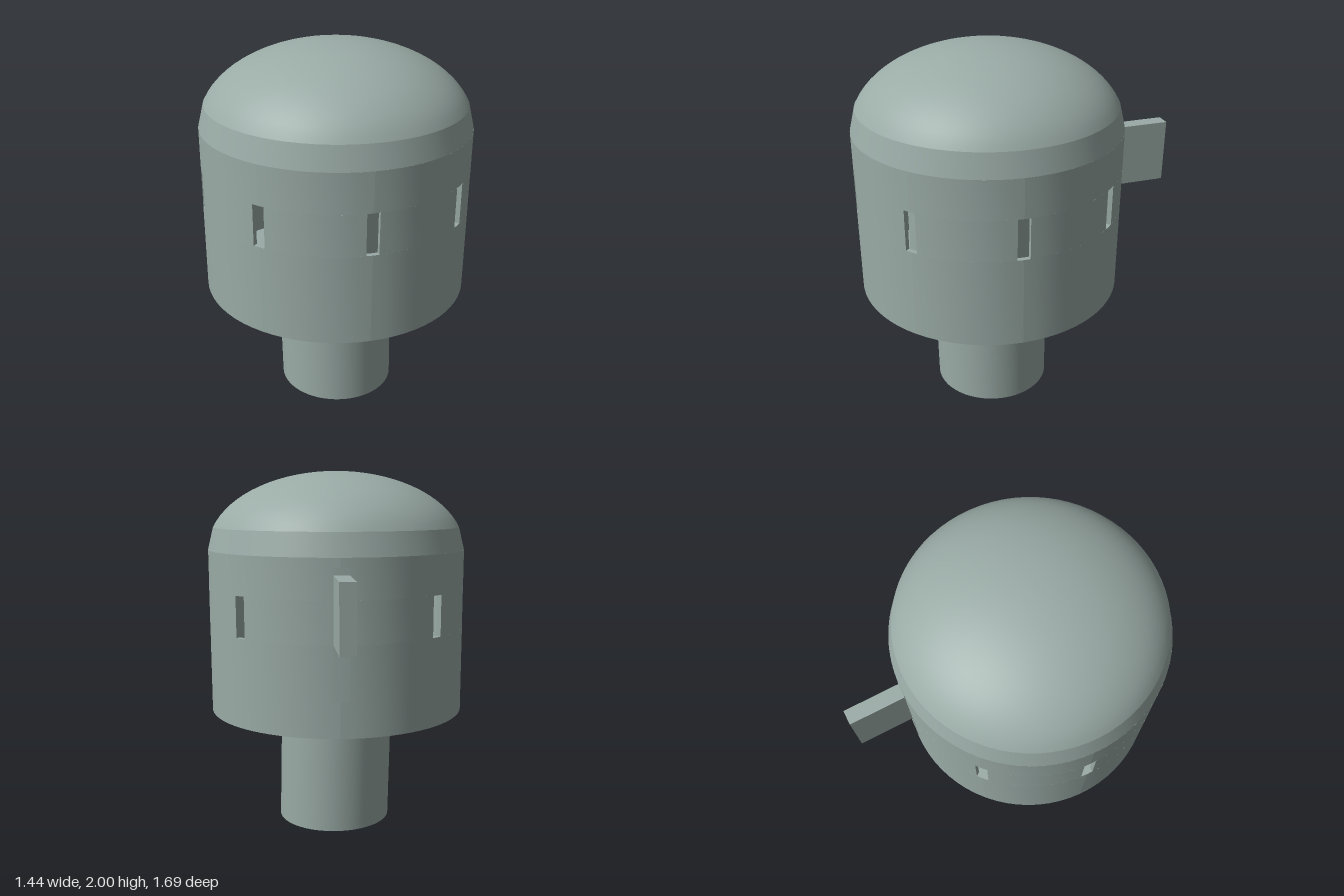
import * as THREE from 'three';
import { toCreasedNormals } from 'three/addons/utils/BufferGeometryUtils.js';

const R = 0.72, T = 0.025, BASE = 0.66, SILL = 1.14, HEAD = 1.36, RIM = 1.57;
const DEG = Math.PI / 180;

// Curved wall block; angles are measured from the front (+z) towards +x
function arcBlock(a0, a1, y0, y1, outer = R, inner = R - T) {
  const n = Math.max(2, Math.round((a1 - a0) / (5 * DEG)));
  const pts = [];
  for (let i = 0; i <= n; i++) {
    const a = a0 + (a1 - a0) * i / n;
    pts.push(new THREE.Vector2(outer * Math.sin(a), -outer * Math.cos(a)));
  }
  for (let i = n; i >= 0; i--) {
    const a = a0 + (a1 - a0) * i / n;
    pts.push(new THREE.Vector2(inner * Math.sin(a), -inner * Math.cos(a)));
  }
  const geo = new THREE.ExtrudeGeometry(new THREE.Shape(pts), { depth: y1 - y0, bevelEnabled: false });
  geo.rotateX(-Math.PI / 2).translate(0, y0, 0);
  return toCreasedNormals(geo, 0.5);
}

export function createModel() {
  const model = new THREE.Group();
  const steel = new THREE.MeshStandardMaterial({ color: 0x9aaba6, side: THREE.DoubleSide });
  steel.name = 'grey green steel';

  const turret = new THREE.Group();
  turret.name = 'turret';
  turret.position.z = 0.12;
  model.add(turret);
  const add = (name, geo, parent = turret) => {
    const mesh = new THREE.Mesh(geo, steel);
    mesh.name = name;
    parent.add(mesh);
    return mesh;
  };

  // Stem, leaning slightly sideways
  const stem = new THREE.CylinderGeometry(0.32, 0.32, BASE, 64);
  stem.translate(0, BASE / 2, 0);
  const p = stem.attributes.position;
  for (let i = 0; i < p.count; i++) p.setX(i, p.getX(i) + 0.017 * (1 - p.getY(i) / BASE));
  add('stem', stem);

  // Drum wall with vertical viewing slits every 45 degrees
  add('floor', new THREE.CylinderGeometry(R - 0.001, R - 0.001, 0.02, 72).translate(0, BASE + 0.01, 0));
  const slit = 0.045;
  for (let k = 0; k < 8; k++) {
    const a = (22.5 + 45 * k) * DEG, b = a + 45 * DEG;
    add('lowerWall', arcBlock(a, b, BASE, SILL));
    add('upperWall', arcBlock(a, b, HEAD, RIM));
    add('wallPier', arcBlock(a + slit, b - slit, SILL, HEAD));
  }

  // Doorway panel closes the slit behind the open hatch
  add('doorPanel', arcBlock(154.6 * DEG, 161.3 * DEG, 0.85, 1.52, R + 0.001, R - 0.03));

  // Inner block seen through the slits
  add('innerBlock', new THREE.BoxGeometry(0.4, 0.67, 0.8).translate(0, 1.005, 0));

  // Elliptical dome: sloped first band, then a smooth cap
  const dome = t => new THREE.Vector2(R * Math.cos(t), RIM + 0.43 * Math.sin(t));
  const first = 16.6 * DEG;
  add('domeBand', new THREE.LatheGeometry([dome(0), dome(first)], 72));
  const cap = [];
  for (let i = 0; i <= 16; i++) cap.push(dome(first + (Math.PI / 2 - first) * i / 16));
  cap[16].x = 0;
  add('domeCap', new THREE.LatheGeometry(cap, 72));

  // Hatch plate standing out from the back
  const hatch = add('hatch', new THREE.BoxGeometry(0.08, 0.345, 0.36), model);
  hatch.position.set(0.31, 1.3125, -0.663);
  hatch.rotation.y = -19 * DEG;

  return model;
}
